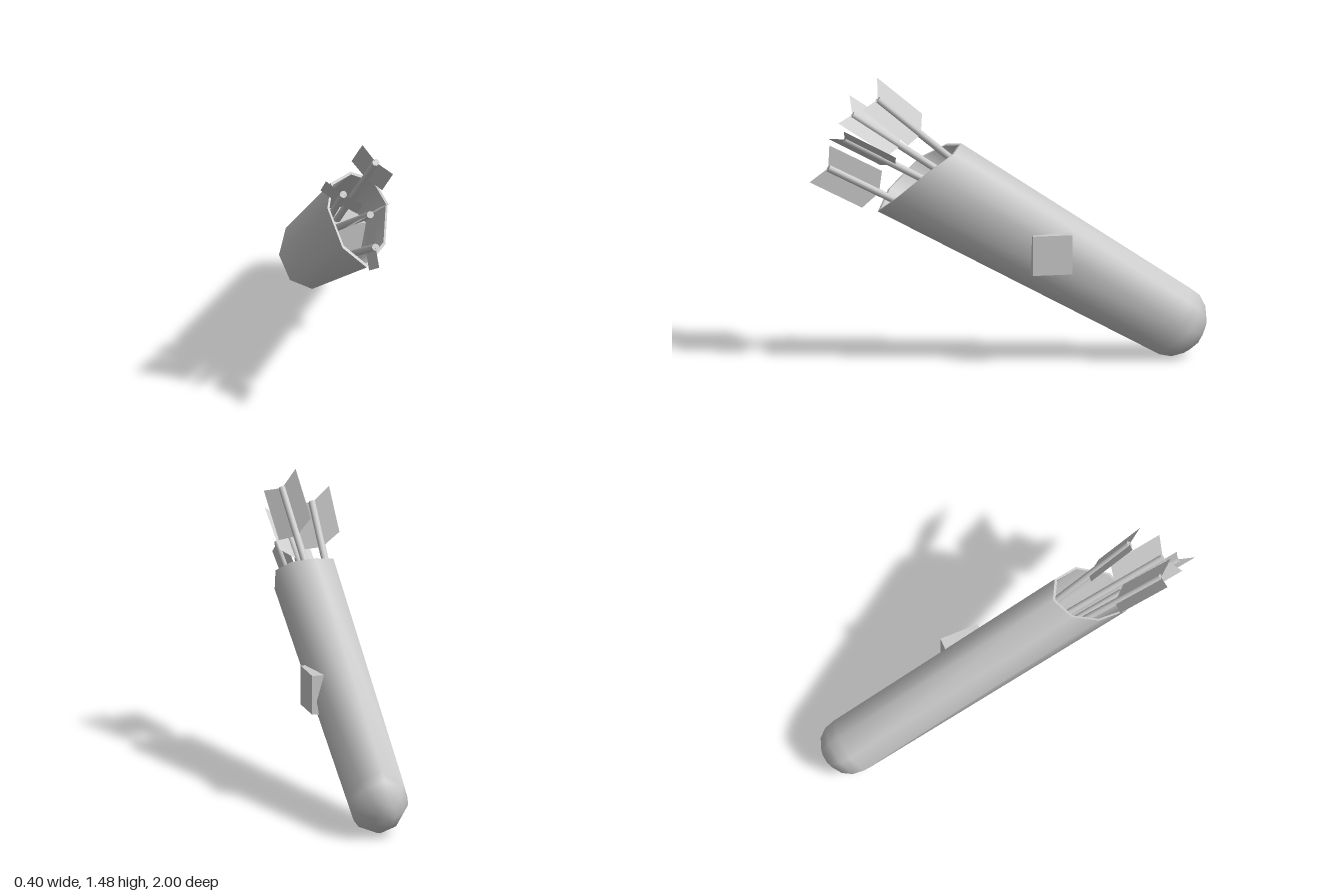
import * as THREE from 'three';
import { mergeVertices } from 'three/addons/utils/BufferGeometryUtils.js';

const V = (x, y, z) => new THREE.Vector3(x, y, z);
const SIDES = 8, CX = 0.023, RX = 0.153;

// Skin a list of closed rings (each SIDES points) with quads
function loft(rings, inward = false) {
  const pos = rings.flat().flatMap(p => [p.x, p.y, p.z]);
  const idx = [];
  for (let i = 0; i < rings.length - 1; i++) {
    for (let k = 0; k < SIDES; k++) {
      const a = i * SIDES + k, b = i * SIDES + (k + 1) % SIDES;
      const c = a + SIDES, d = b + SIDES;
      idx.push(...(inward ? [a, c, b, b, c, d] : [a, b, c, b, d, c]));
    }
  }
  const geo = new THREE.BufferGeometry();
  geo.setAttribute('position', new THREE.Float32BufferAttribute(pos, 3));
  geo.setIndex(idx);
  const merged = mergeVertices(geo, 1e-5);
  merged.computeVertexNormals();
  return merged;
}

// Slanted, curved mouth followed by the rounded base
function quiverRings() {
  // [z, y] of the mouth from top to bottom
  const mouth = [[0.23, 1.13], [0.285, 1.105], [0.415, 1.03], [0.58, 0.885], [0.65, 0.80]];
  const rings = [];
  const ring = f => Array.from({ length: SIDES }, (_, k) => f(k, k * Math.PI * 2 / SIDES));
  rings.push(ring((k, a) => {
    const [z, y] = mouth[Math.min(k, SIDES - k)];
    return V(CX + RX * Math.sin(a), y, z);
  }));
  const centre = V(CX, 0.178, -0.847), up = V(0, 0.166, -0.077), out = V(0, -0.0652, -0.1406);
  for (let j = 0; j <= 4; j++) {
    const phi = j * Math.PI / 8, c = Math.cos(phi), s = Math.sin(phi);
    rings.push(ring((k, a) => centre.clone()
      .addScaledVector(up, Math.cos(a) * c)
      .addScaledVector(out, s)
      .add(V(RX * Math.sin(a) * c, 0, 0))));
  }
  return rings;
}

// Pull every ring towards its own middle to get the lining
function shrink(rings, f) {
  return rings.map(r => {
    const mid = r.reduce((m, p) => m.add(p), V(0, 0, 0)).divideScalar(r.length);
    return r.map(p => mid.clone().lerp(p, f));
  });
}

// Shaft with two opposite swept vanes; side = half width of the vane pair
function makeArrow(nock, tip, side, material, vaneMaterial) {
  const arrow = new THREE.Group();
  arrow.name = 'arrow';
  const dir = tip.clone().sub(nock), length = dir.length();
  dir.normalize();

  const shaft = new THREE.Mesh(new THREE.CylinderGeometry(0.018, 0.018, length, 10), material);
  shaft.name = 'shaft';
  shaft.position.copy(nock).lerp(tip, 0.5);
  shaft.quaternion.setFromUnitVectors(V(0, 1, 0), dir.clone().negate());
  arrow.add(shaft);

  const at = (along, across) => nock.clone().addScaledVector(dir, along).addScaledVector(side, across);
  for (const s of [-1, 1]) {
    const geo = new THREE.BufferGeometry().setFromPoints(
      [at(0, 0), at(-0.05, s), at(0.25, s), at(0.29, 0)]);
    geo.setIndex([0, 1, 2, 0, 2, 3]);
    geo.computeVertexNormals();
    const vane = new THREE.Mesh(geo, vaneMaterial);
    vane.name = 'vane';
    arrow.add(vane);
  }
  return arrow;
}

export function createModel() {
  const model = new THREE.Group();
  model.name = 'quiverWithArrows';
  const grey = new THREE.MeshStandardMaterial({ color: 0xcccccc });
  const thin = new THREE.MeshStandardMaterial({ color: 0xcccccc, side: THREE.DoubleSide });
  const add = (name, geo) => {
    const mesh = new THREE.Mesh(geo, grey);
    mesh.name = name;
    model.add(mesh);
    return mesh;
  };

  // Quiver shell, lining and rim
  const outer = quiverRings(), inner = shrink(outer, 0.93);
  add('quiverShell', loft(outer));
  add('quiverLining', loft(inner, true));
  add('quiverRim', loft([outer[0], inner[0]], true));

  // Block fixed to the side of the quiver
  add('sideBlock', new THREE.BoxGeometry(0.2, 0.2, 0.2)).position.set(0.1, 0.58, -0.2);

  // Arrows: nock end, buried end, vane direction
  const arrows = [
    [V(-0.115, 1.265, 0.755), V(0.01, 0.2, -0.8), V(0.084, -0.051, 0.043)],
    [V(0.068, 1.38, 0.66), V(0.0, 0.15, -0.78), V(0.068, -0.064, 0.048)],
    [V(0.01, 1.17, 0.815), V(0.02, 0.28, -0.8), V(0.096, 0.04, -0.022)],
    [V(0.02, 1.03, 0.9), V(0.02, 0.13, -0.8), V(0, 0.092, -0.05)],
  ];
  for (const [nock, tip, side] of arrows) model.add(makeArrow(nock, tip, side, grey, thin));
  return model;
}
